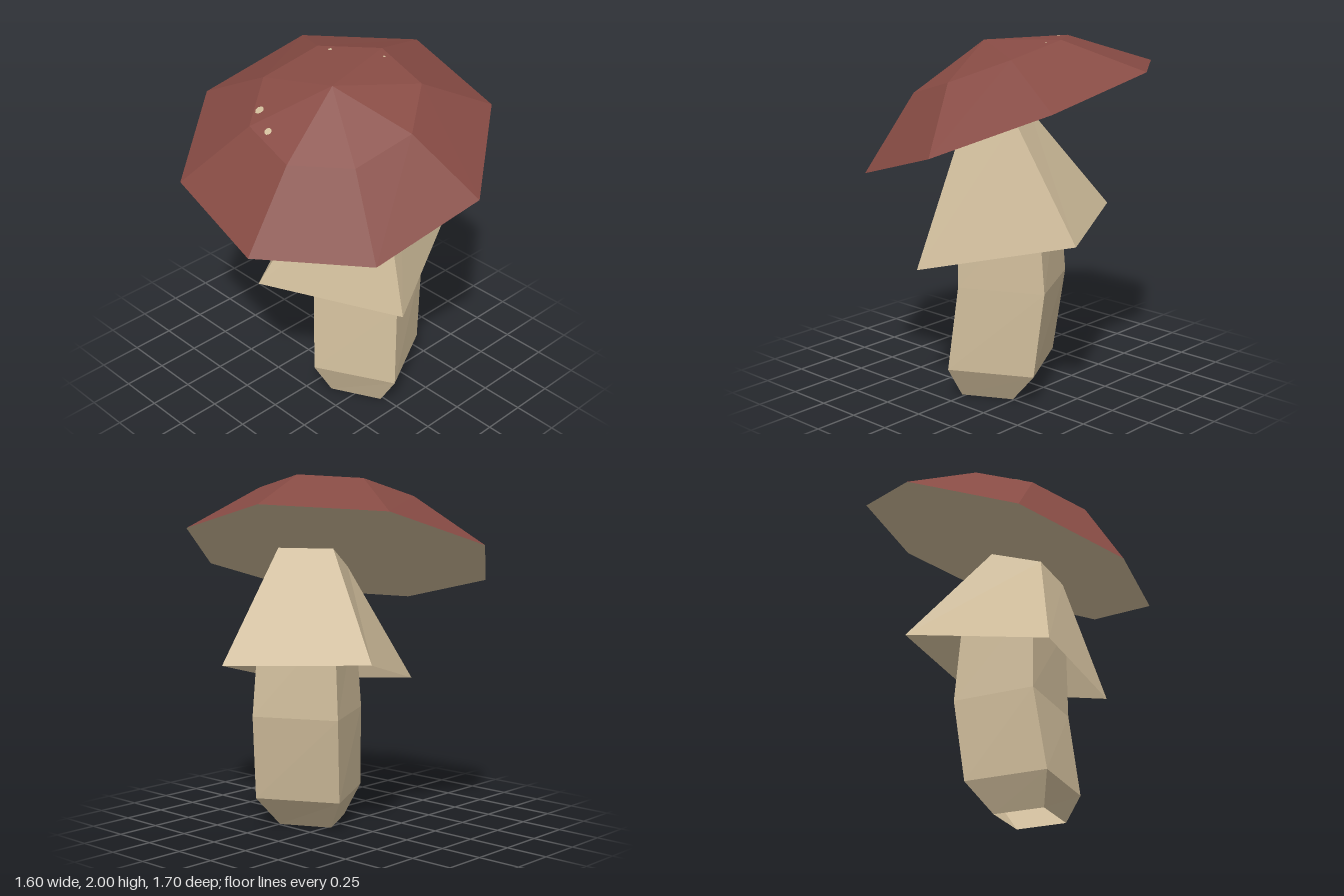
import * as THREE from 'three';

const V = (x, y, z) => new THREE.Vector3(x, y, z);

// Regular polygon ring: centre plus two perpendicular radius vectors (front, then left)
function ring(n, c, u, v) {
  return Array.from({ length: n }, (_, i) => {
    const a = (i / n) * Math.PI * 2;
    return V(...c).addScaledVector(V(...u), Math.cos(a)).addScaledVector(V(...v), Math.sin(a));
  });
}

// Faceted geometry from a list of triangle corners
function facets(points) {
  const g = new THREE.BufferGeometry().setFromPoints(points);
  g.computeVertexNormals();
  return g;
}

// Side walls between consecutive rings, lowest first
function loft(rings) {
  const pts = [];
  for (let r = 0; r + 1 < rings.length; r++) {
    const lo = rings[r], hi = rings[r + 1], n = lo.length;
    for (let i = 0; i < n; i++) {
      const j = (i + 1) % n;
      pts.push(lo[i], lo[j], hi[j], lo[i], hi[j], hi[i]);
    }
  }
  return pts;
}

// Triangles from a ring to one centre point
function fan(r, tip, flip = false) {
  return r.flatMap((p, i) => {
    const q = r[(i + 1) % r.length];
    return flip ? [q, p, tip] : [p, q, tip];
  });
}

export function createModel() {
  const group = new THREE.Group();
  const red = new THREE.MeshStandardMaterial({ color: 0x874b44, flatShading: true });
  red.name = 'cap red';
  const cream = new THREE.MeshStandardMaterial({ color: 0xd0bd9b, flatShading: true, side: THREE.DoubleSide });
  cream.name = 'stem cream';

  const add = (name, geometry, material) => {
    const m = new THREE.Mesh(geometry, material);
    m.name = name;
    group.add(m);
    return m;
  };

  // Leaning square stem, open at the bottom
  add('stem', facets(loft([
    ring(4, [0.04, 0, 0.185], [-0.06, 0, 0.205], [0.2, 0, 0.065]),
    ring(4, [0.08, 0.18, 0.17], [-0.1, 0, 0.33], [0.33, 0, 0.1]),
    ring(4, [0.13, 0.66, 0.13], [-0.105, 0, 0.33], [0.33, 0, 0.11]),
    ring(4, [0.115, 1.2, 0.1425], [-0.1, 0, 0.3], [0.29, 0, 0.095]),
  ])), cream);

  // Tilted flaring skirt, open below
  add('skirt', facets(loft([
    ring(4, [0.09, 0.8875, 0.0675], [-0.205, -0.1175, 0.5675], [0.59, 0.0825, 0.1775]),
    ring(4, [0.035, 1.53, 0.175], [-0.065, -0.06, 0.215], [0.21, 0.06, 0.07]),
  ])), cream);

  // Eight-sided tilted cap
  const rim = ring(8, [0, 1.55, 0], [0.21, -0.08, 0.85], [0.8, 0.305, -0.17]);
  const shoulder = ring(8, [-0.08, 1.84, 0.075], [0.11, -0.04, 0.45], [0.43, 0.16, -0.085]);
  const apex = V(-0.12, 1.97, 0.09);
  add('cap', facets([...loft([rim, shoulder]), ...fan(shoulder, apex)]), red);
  add('capUnderside', facets(fan(rim, V(0, 1.55, 0), true)), cream);

  // Small spots: facet index, weights toward its two shoulder corners, radius
  for (const [i, a, b, radius] of [
    [4, 0.245, 0.67, 0.026],
    [5, 0.624, 0.264, 0.021],
    [2, 0.175, 0.729, 0.011],
    [1, 0.165, 0.746, 0.007],
  ]) {
    const p = shoulder[i].clone().sub(apex), q = shoulder[i + 1].clone().sub(apex);
    const normal = p.clone().cross(q).normalize();
    const spot = add('spot', new THREE.CircleGeometry(radius, 8), cream);
    spot.position.copy(apex).addScaledVector(p, a).addScaledVector(q, b).addScaledVector(normal, 0.004);
    spot.quaternion.setFromUnitVectors(V(0, 0, 1), normal);
  }
  return group;
}
